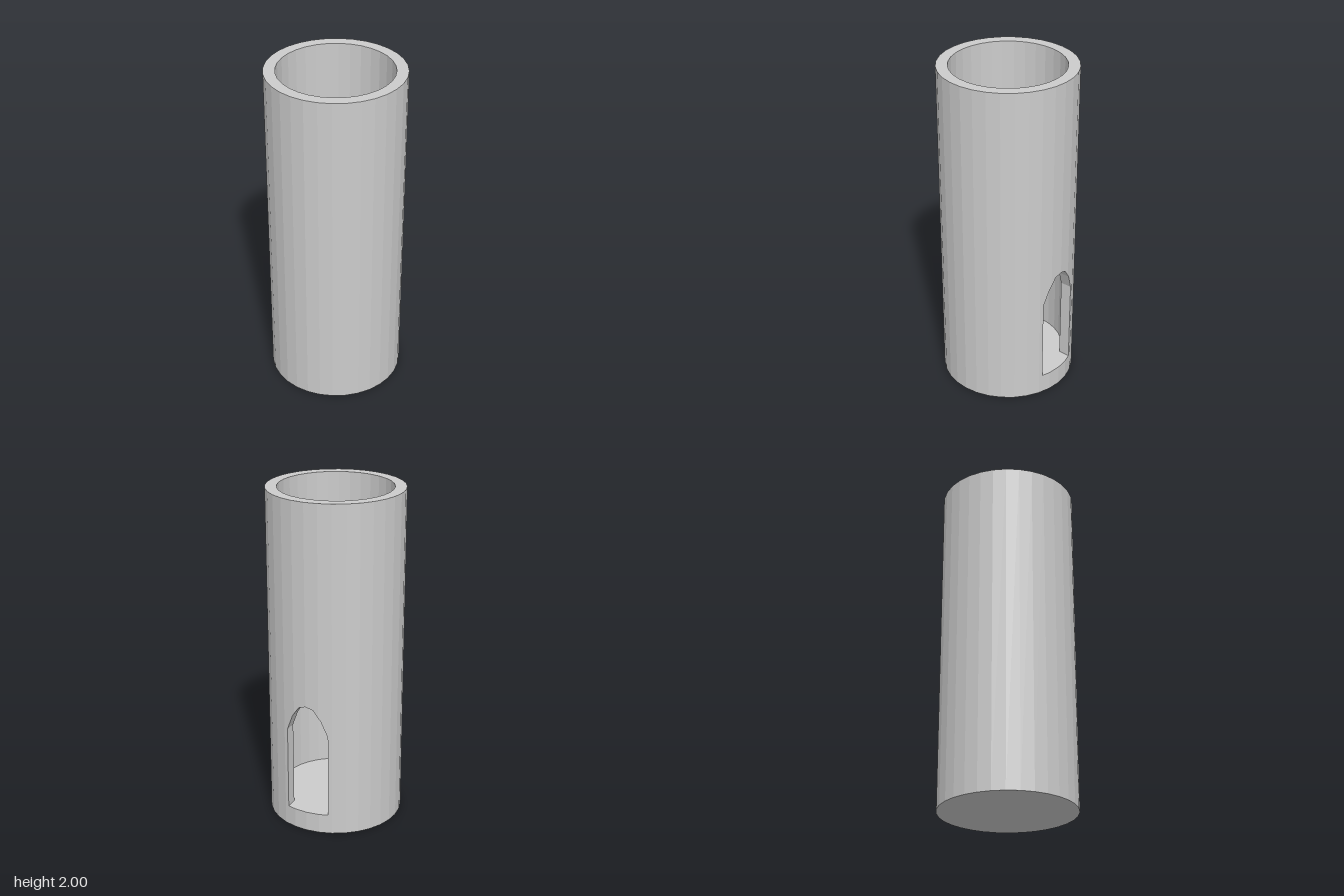
import * as THREE from 'three';

const SIDES = 32, STEP = (Math.PI * 2) / SIDES;
const OUTER = 0.4, INNER = 0.333, HEIGHT = 2, FLOOR = 0.12, HALF_DOOR = 0.13;
// right half of the door arch as [z, y], crown first
const ARCH = [[0, 0.803], [0.045, 0.788], [0.09, 0.726], [HALF_DOOR, 0.628]];

const lerp = THREE.MathUtils.lerp;

function archY(z) {
  const d = Math.abs(z);
  let i = 0;
  while (i < ARCH.length - 2 && d > ARCH[i + 1][0]) i++;
  const [z0, y0] = ARCH[i], [z1, y1] = ARCH[i + 1];
  return lerp(y0, y1, (d - z0) / (z1 - z0));
}

// x of the faceted wall on the door side at a given z
function wallX(r, z) {
  const t = Math.floor(Math.asin(z / r) / STEP + 1e-6) * STEP;
  const z0 = r * Math.sin(t), z1 = r * Math.sin(t + STEP);
  return lerp(r * Math.cos(t), r * Math.cos(t + STEP), (z - z0) / (z1 - z0));
}

// z positions of every column across the door: arch points and facet edges
function doorColumns() {
  const half = ARCH.map((p) => p[0]);
  for (const r of [OUTER, INNER]) {
    for (let k = 1; r * Math.sin(k * STEP) < HALF_DOOR; k++) half.push(r * Math.sin(k * STEP));
  }
  half.sort((a, b) => a - b);
  return [...half.slice(1).reverse().map((z) => -z), ...half];
}

function flatGeometry(build) {
  const pos = [];
  build((a, b, c, d) => pos.push(...a, ...b, ...c, ...a, ...c, ...d));
  const g = new THREE.BufferGeometry();
  g.setAttribute('position', new THREE.Float32BufferAttribute(pos, 3));
  g.computeVertexNormals();
  return g;
}

// faceted tube skin with the doorway left open
function wallGeometry(r, bottom, columns, inward) {
  return flatGeometry((quad) => {
    const strip = (a, b, low, topA, topB, lowB = low) => {
      const p = [[b[0], lowB, b[1]], [a[0], low, a[1]], [a[0], topA, a[1]], [b[0], topB, b[1]]];
      if (inward) p.reverse();
      quad(...p);
    };
    // door columns first, then the facet corners around the rest
    const ring = columns.map((z) => [wallX(r, z), z]);
    const inDoor = columns.length - 1;
    for (let k = 1; k < SIDES; k++) {
      const x = r * Math.cos(k * STEP), z = r * Math.sin(k * STEP);
      if (x < 0 || Math.abs(z) > HALF_DOOR) ring.push([x, z]);
    }
    ring.forEach((a, i) => {
      const b = ring[(i + 1) % ring.length];
      if (i < inDoor) {
        if (bottom < FLOOR) strip(a, b, bottom, FLOOR, FLOOR);
        strip(a, b, archY(a[1]), HEIGHT, HEIGHT, archY(b[1]));
      } else {
        strip(a, b, bottom, HEIGHT, HEIGHT);
      }
    });
  });
}

// sill, jambs and arched soffit through the wall thickness
function revealGeometry(columns) {
  return flatGeometry((quad) => {
    const at = (r, z, y) => [wallX(r, z), y, z];
    for (let i = 0; i < columns.length - 1; i++) {
      const a = columns[i], b = columns[i + 1];
      quad(at(INNER, a, archY(a)), at(OUTER, a, archY(a)), at(OUTER, b, archY(b)), at(INNER, b, archY(b)));
      quad(at(INNER, b, FLOOR), at(OUTER, b, FLOOR), at(OUTER, a, FLOOR), at(INNER, a, FLOOR));
    }
    for (const z of [HALF_DOOR, -HALF_DOOR]) {
      const p = [at(INNER, z, FLOOR), at(INNER, z, archY(z)), at(OUTER, z, archY(z)), at(OUTER, z, FLOOR)];
      if (z < 0) p.reverse();
      quad(...p);
    }
  });
}

export function createModel() {
  const group = new THREE.Group();
  group.name = 'hollowTower';
  const material = new THREE.MeshStandardMaterial({ color: 0xcccccc, flatShading: true });
  const add = (name, geometry) => {
    const mesh = new THREE.Mesh(geometry, material);
    mesh.name = name;
    group.add(mesh);
  };
  const columns = doorColumns();

  add('outerWall', wallGeometry(OUTER, 0, columns, false));
  add('innerWall', wallGeometry(INNER, FLOOR, columns, true));
  add('doorReveal', revealGeometry(columns));

  // horizontal faces
  add('topRim', new THREE.RingGeometry(INNER, OUTER, SIDES).rotateX(-Math.PI / 2).translate(0, HEIGHT, 0));
  add('floor', new THREE.CircleGeometry(INNER, SIDES).rotateX(-Math.PI / 2).translate(0, FLOOR, 0));
  add('base', new THREE.CircleGeometry(OUTER, SIDES).rotateX(Math.PI / 2));
  return group;
}
